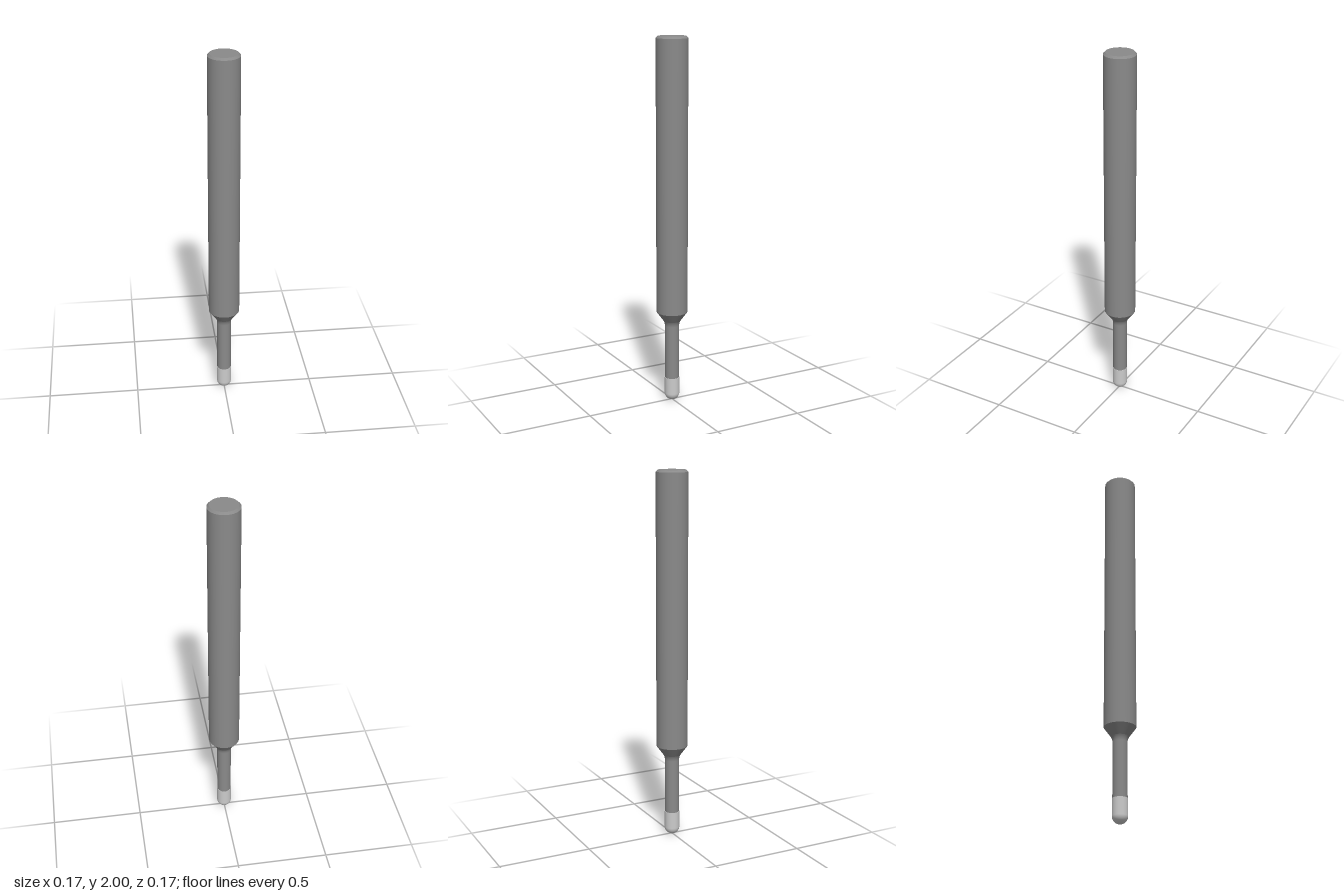
import * as THREE from 'three';

const SEGMENTS = 64;

// Revolved section; each section is its own mesh so edges between them stay sharp
function revolve(name, points, material) {
  const profile = points.map(([r, y]) => new THREE.Vector2(r, y));
  const mesh = new THREE.Mesh(new THREE.LatheGeometry(profile, SEGMENTS), material);
  mesh.name = name;
  return mesh;
}

// Points on an arc about (cr, cy), from angle a0 to a1
function arc(cr, cy, radius, a0, a1, steps) {
  return Array.from({ length: steps + 1 }, (_, i) => {
    const a = a0 + ((a1 - a0) * i) / steps;
    return [Math.max(0, cr + radius * Math.cos(a)), cy + radius * Math.sin(a)];
  });
}

export function createModel() {
  const steel = new THREE.MeshStandardMaterial({ color: 0x8a8a8a });
  const bright = new THREE.MeshStandardMaterial({ color: 0xcccccc });

  const shankR = 0.085, neckR = 0.039, tipR = 0.041;
  const chamfer = 0.011, shoulderY = 0.512, tipTop = 0.132;

  // Concave fillet blending the neck into the conical shoulder
  const filletR = 0.06, filletY = 0.43;
  const slope = Math.PI - Math.PI / 6;
  const fillet = arc(neckR + filletR, filletY, filletR, Math.PI, slope, 8);

  const group = new THREE.Group();
  group.name = 'ballEndTool';
  group.add(
    // Shank with chamfered end
    revolve('shank', [[shankR, shoulderY], [shankR, 2 - chamfer]], steel),
    revolve('endChamfer', [[shankR, 2 - chamfer], [shankR - chamfer, 2]], steel),
    revolve('endFace', [[shankR - chamfer, 2], [0, 2]], steel),
    // Shoulder and reduced neck
    revolve('shoulder', [fillet.at(-1), [shankR, shoulderY]], steel),
    revolve('neck', [[neckR, tipTop], ...fillet], steel),
    // Ball-nosed tip with the small step up from the neck
    revolve('ballTip', [...arc(0, tipR, tipR, -Math.PI / 2, 0, 16), [tipR, tipTop]], bright),
    revolve('tipStep', [[tipR, tipTop], [0, tipTop]], bright),
  );
  return group;
}
